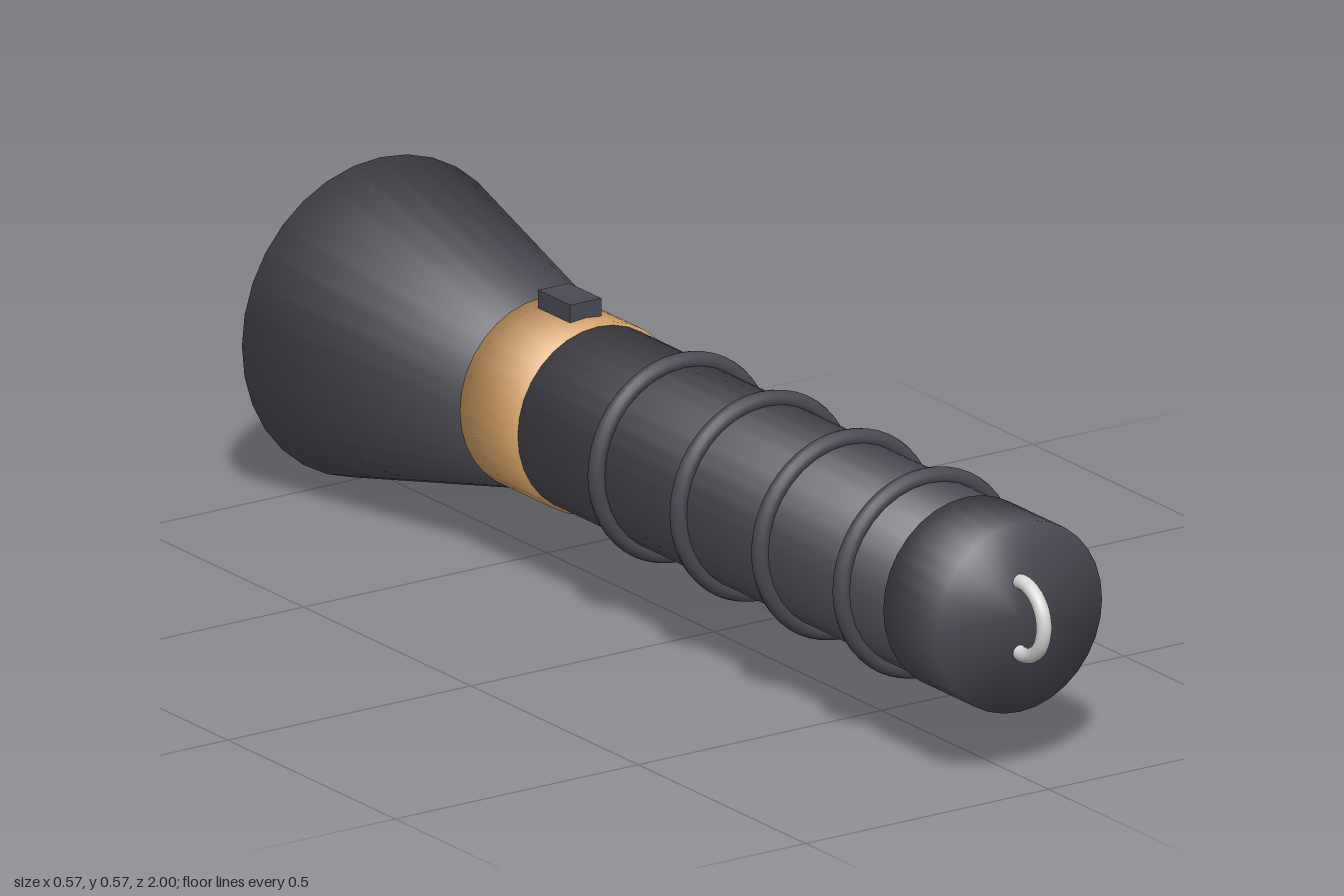
import * as THREE from 'three';

const AXIS = 0.286; // height of the torch's centre line

const dark = new THREE.MeshStandardMaterial({ name: 'charcoal', color: 0x4a4a53 });
const gold = new THREE.MeshStandardMaterial({ name: 'brass', color: 0xd4a066 });
const pale = new THREE.MeshStandardMaterial({ name: 'pale grey', color: 0xd8d8d8 });

// Closed drum along z whose rim normals blend the side with the end discs
function drum(rFront, rBack, zFront, zBack) {
  const length = zFront - zBack;
  const g = new THREE.CylinderGeometry(rFront, rBack, length, 32);
  const p = g.attributes.position;
  const side = new THREE.Vector3();
  for (let i = 0; i < p.count; i++) {
    const end = Math.sign(p.getY(i));
    const onRim = Math.hypot(p.getX(i), p.getZ(i)) > 1e-4;
    side.set(0, 0, 0);
    if (onRim) {
      side.set(p.getX(i), 0, p.getZ(i)).normalize();
      side.y = (rBack - rFront) / length;
      side.normalize();
    }
    side.y += end;
    side.normalize();
    g.attributes.normal.setXYZ(i, side.x, side.y, side.z);
  }
  g.rotateX(Math.PI / 2);
  g.translate(0, AXIS, (zFront + zBack) / 2);
  return g;
}

export function createModel() {
  const model = new THREE.Group();
  model.name = 'torch';
  const add = (name, geometry, material) => {
    const mesh = new THREE.Mesh(geometry, material);
    mesh.name = name;
    model.add(mesh);
    return mesh;
  };

  // Handle, end cap, collar and flared head
  add('handle', drum(0.164, 0.164, 0.8, -0.4), dark);
  add('endCap', drum(0.17, 0.17, 0.913, 0.753), dark);
  add('collar', drum(0.17, 0.17, -0.348, -0.512), gold);
  add('head', drum(0.169, 0.284, -0.511, -0.998), dark);
  add('lens', drum(0.264, 0.264, -0.985, -1), pale);

  // Grip rings
  const ring = new THREE.TorusGeometry(0.171, 0.0155, 12, 48);
  [0.63, 0.387, 0.143, -0.102].forEach((z, i) => {
    add('gripRing' + (i + 1), ring, dark).position.set(0, AXIS, z);
  });

  // Slide switch on the collar
  add('switch', new THREE.BoxGeometry(0.064, 0.06, 0.096), dark)
    .position.set(0, 0.455, -0.431);

  // Hanging loop half sunk into the end cap
  const loop = add('hangingLoop', new THREE.TorusGeometry(0.0645, 0.0135, 12, 40), pale);
  loop.rotation.y = Math.PI / 2;
  loop.position.set(0, AXIS, 0.922);

  return model;
}
